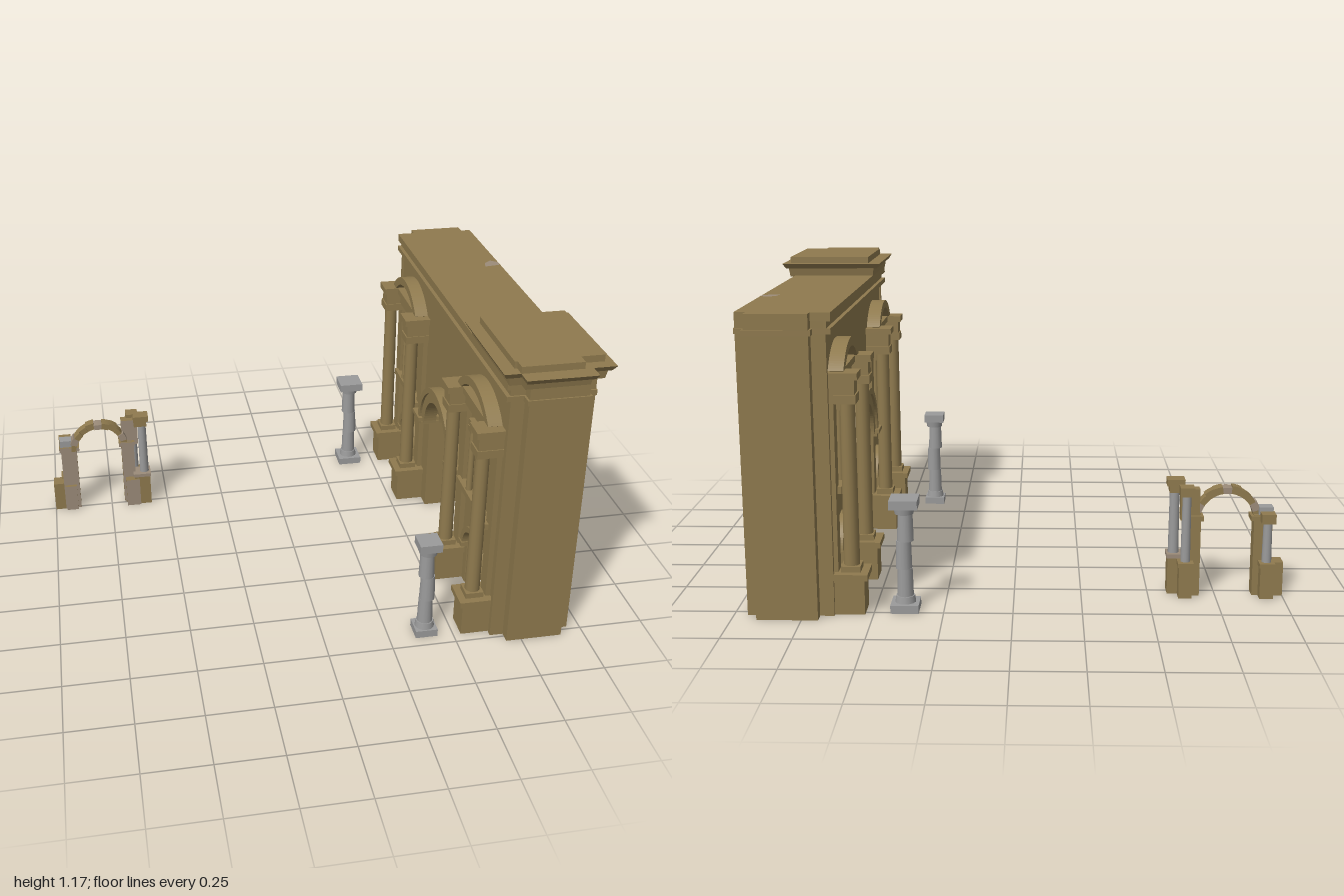
import * as THREE from 'three';

const mat = (name, color) => Object.assign(new THREE.MeshStandardMaterial({ color }), { name });
const stone = mat('ochre stone', 0x8f7a4e);
const pale = mat('worn plaster', 0x9c8c7a);
const grey = mat('grey marble', 0x9b9b9b);

export function createModel() {
  const model = new THREE.Group();
  const add = (name, geo, m, parent = model) => {
    const mesh = new THREE.Mesh(geo, m);
    mesh.name = name;
    parent.add(mesh);
    return mesh;
  };
  // box given by its limits on each axis
  const box = (name, x0, x1, y0, y1, z0, z1, m = stone, parent = model) => {
    const b = add(name, new THREE.BoxGeometry(x1 - x0, y1 - y0, z1 - z0), m, parent);
    b.position.set((x0 + x1) / 2, (y0 + y1) / 2, (z0 + z1) / 2);
    return b;
  };
  const shaft = (name, x, z, y0, y1, r, m = stone, parent = model) => {
    const c = add(name, new THREE.CylinderGeometry(r * 0.9, r, y1 - y0, 14), m, parent);
    c.position.set(x, (y0 + y1) / 2, z);
    return c;
  };
  // shape drawn in (z, y), extruded from x1 back to x0
  const slab = (name, shape, x0, x1, m = stone) => {
    const s = add(name, new THREE.ExtrudeGeometry(shape, { depth: x1 - x0, bevelEnabled: false, curveSegments: 20 }), m);
    s.rotation.y = -Math.PI / 2;
    s.position.x = x1;
    return s;
  };
  const poly = (pts) => new THREE.Shape(pts.map(([a, b]) => new THREE.Vector2(a, b)));
  const ring = (c, y, r0, r1, a0 = 0, a1 = Math.PI) => {
    const s = new THREE.Shape();
    s.absarc(c, y, r1, a0, a1, false);
    s.absarc(c, y, r0, a1, a0, true);
    s.closePath();
    return s;
  };

  // gate wall with three arched passages
  const wallShape = () => {
    const s = new THREE.Shape();
    s.moveTo(-0.785, 0.01);
    for (const [c, y, r] of [[-0.53, 0.2, 0.1], [-0.025, 0.425, 0.215], [0.475, 0.2, 0.1]]) {
      s.lineTo(c - r, 0.01);
      s.lineTo(c - r, y);
      s.absarc(c, y, r, Math.PI, 0, true);
      s.lineTo(c + r, 0.01);
    }
    s.lineTo(0.735, 0.01);
    s.lineTo(0.735, 1.105);
    s.lineTo(-0.785, 1.105);
    s.closePath();
    return s;
  };
  const broken = wallShape();
  broken.holes.push(poly([[-0.24, 0.85], [-0.42, 0.75], [-0.42, 0.39], [-0.38, 0.38], [-0.345, 0.43]]));
  slab('wall', broken, 0.68, 0.95);
  slab('wallFacing', wallShape(), 0.645, 0.68);

  // end piers, string course and crown moulding
  for (const [z0, z1] of [[-0.83, -0.785], [0.735, 0.78]]) {
    box('endPier', 0.69, 0.91, 0.01, 1.105, z0, z1);
    box('endPierBand', 0.682, 0.918, 1.03, 1.05, z0 - 0.006, z1 + 0.006);
  }
  box('stringCourse', 0.62, 0.953, 1.03, 1.05, -0.792, 0.742);
  slab('frieze', poly([[-0.785, 1.05], [0.735, 1.05], [0.735, 1.075], [-0.785, 1.075]]), 0.635, 0.645);
  box('crown', 0.62, 0.7, 1.075, 1.105, -0.79, 0.74);
  for (const [z0, z1] of [[-0.785, -0.765], [0.715, 0.735]]) box('cornerStrip', 0.638, 0.645, 0.01, 1.03, z0, z1);

  // stepped cornice over the front end, flaring towards its upper edge
  const tier = (y0, y1, pts, k = 1) => {
    const g = new THREE.ExtrudeGeometry(poly(pts.map(([x, z]) => [x, -z])), { depth: y1 - y0, bevelEnabled: false });
    g.rotateX(-Math.PI / 2);
    const p = g.attributes.position;
    for (let i = 0; i < p.count; i++) {
      if (p.getY(i) < 1e-5) p.setXYZ(i, 0.795 + (p.getX(i) - 0.795) * k, 0, 0.56 + (p.getZ(i) - 0.56) * k);
    }
    g.computeVertexNormals();
    add('corniceTier', g, stone).position.y = y0;
  };
  const tabbed = (x0, x1, z0, z1, t0, t1, z2) => [[x0, z0], [x1, z0], [x1, z1], [t1, z1], [t1, z2], [t0, z2], [t0, z1], [x0, z1]];
  tier(1.1, 1.135, tabbed(0.615, 0.975, 0.315, 0.76, 0.66, 0.905, 0.8), 0.97);
  tier(1.135, 1.156, tabbed(0.59, 1.0, 0.305, 0.78, 0.65, 0.912, 0.84), 0.94);
  tier(1.156, 1.182, tabbed(0.64, 0.97, 0.34, 0.735, 0.65, 0.88, 0.78));

  // facade bays: columns on pedestals, lintel, curved pediment, window and door arch
  for (const [a, b, door] of [[-0.72, -0.355, -0.53], [0.285, 0.655, 0.475]]) {
    const mid = (a + b) / 2;
    for (const z of [a, b]) {
      box('pedestal', 0.53, 0.645, 0.01, 0.14, z - 0.052, z + 0.052);
      box('pedestalCap', 0.517, 0.645, 0.14, 0.163, z - 0.063, z + 0.063);
      box('columnBase', 0.545, 0.615, 0.163, 0.185, z - 0.036, z + 0.036);
      shaft('column', 0.58, z, 0.185, 0.78, 0.029);
      box('columnCapital', 0.545, 0.645, 0.78, 0.812, z - 0.04, z + 0.04);
      box('entablatureBlock', 0.55, 0.645, 0.812, 0.865, z - 0.036, z + 0.036);
      box('entablatureCap', 0.538, 0.645, 0.865, 0.89, z - 0.046, z + 0.046);
      box('backPilaster', 0.625, 0.645, 0.163, 0.79, z - 0.03, z + 0.03);
    }
    box('lintel', 0.612, 0.645, 0.815, 0.865, a, b);
    box('lintelCap', 0.597, 0.645, 0.865, 0.89, a, b);
    slab('curvedPediment', ring(mid, 0.735, 0.212, 0.245, 0.69, Math.PI - 0.69), 0.59, 0.645);
    box('sill', 0.61, 0.645, 0.445, 0.47, a, b);
    for (const s of [-1, 1]) {
      shaft('windowColonnette', 0.628, mid + s * 0.075, 0.47, 0.73, 0.013);
      box('windowCapital', 0.612, 0.645, 0.73, 0.75, mid + s * 0.075 - 0.02, mid + s * 0.075 + 0.02);
    }
    box('windowHead', 0.615, 0.645, 0.75, 0.775, mid - 0.1, mid + 0.1);
    slab('doorArch', ring(door, 0.2, 0.1, 0.125), 0.622, 0.645);
    for (const s of [-1, 1]) {
      const z = door + s * 0.112;
      box('doorImpost', 0.618, 0.645, 0.19, 0.21, z - 0.018, z + 0.018);
    }
  }

  // main arch surround
  slab('mainArch', ring(-0.025, 0.455, 0.165, 0.215), 0.605, 0.66);
  slab('mainArchRim', ring(-0.025, 0.455, 0.205, 0.23), 0.595, 0.645);
  for (const [z0, z1] of [[-0.31, -0.212], [0.162, 0.25]]) {
    box('impost', 0.587, 0.68, 0.455, 0.472, z0, z1);
    box('impostLower', 0.597, 0.68, 0.442, 0.455, z0 - 0.004, z1 + 0.004);
  }

  // worn patches
  const patch = (pts) => slab('wornPatch', poly(pts), 0.949, 0.953, pale);
  patch([[0.29, 1.065], [0.25, 1.07], [0.2, 1.055], [0.16, 1.055], [0.16, 1.025], [0.23, 1.02], [0.28, 1.03]]);
  patch([[-0.18, 1.045], [-0.21, 1.062], [-0.24, 1.055], [-0.235, 1.025], [-0.2, 1.022], [-0.175, 1.035]]);
  patch([[0.36, 0.012], [0.345, 0.03], [0.32, 0.032], [0.305, 0.012]]);
  const topPatch = add('wornTopPatch', new THREE.ShapeGeometry(poly([[0.88, 0.33], [0.945, 0.34], [0.948, 0.37], [0.92, 0.395], [0.89, 0.37]])), pale);
  topPatch.rotation.x = -Math.PI / 2;
  topPatch.position.y = 1.107;

  // free-standing columns with slightly shifted drums
  for (const [x, z, w] of [[0.39, -0.71, 0.051], [0.395, 0.66, 0.043]]) {
    const g = new THREE.Group();
    g.name = 'looseColumn';
    model.add(g);
    box('base', x - w, x + w, 0.01, 0.04, z - w, z + w, grey, g);
    box('capital', x - w, x + w, 0.397, 0.43, z - w, z + w, grey, g);
    shaft('baseRing', x, z, 0.04, 0.065, 0.038, grey, g);
    shaft('neck', x, z, 0.372, 0.397, 0.038, grey, g).rotation.x = Math.PI;
    for (let i = 0; i < 3; i++) {
      shaft('drum', x + [0, 0.004, -0.003][i], z, 0.065 + i * 0.103, 0.168 + i * 0.103, 0.03, grey, g);
    }
  }

  // ruined small arch
  const ruin = new THREE.Group();
  ruin.name = 'ruinedArch';
  model.add(ruin);
  const worn = [stone, stone, stone, stone, pale, stone];
  const part = (name, x0, x1, y0, y1, z0, z1, m = stone) => box(name, x0, x1, y0, y1, z0, z1, m, ruin);
  part('leftPier', -0.955, -0.887, 0.01, 0.32, -0.545, -0.49, worn);
  part('leftPierTop', -0.958, -0.905, 0.32, 0.35, -0.54, -0.495, grey);
  part('rightPier', -0.69, -0.635, 0.01, 0.32, -0.555, -0.5, worn);
  part('rightPierTop', -0.685, -0.615, 0.3, 0.42, -0.55, -0.51, worn);
  part('leftImpost', -0.962, -0.875, 0.3, 0.318, -0.55, -0.487, worn);
  part('rightImpost', -0.7, -0.63, 0.3, 0.318, -0.56, -0.495, worn);
  part('leftEndPedestal', -1.0, -0.955, 0.01, 0.14, -0.55, -0.49);
  part('rightEndPedestal', -0.64, -0.572, 0.01, 0.15, -0.535, -0.475);
  part('rightEndPedestalCap', -0.645, -0.568, 0.15, 0.165, -0.54, -0.47, pale);
  shaft('rightEndColumn', -0.595, -0.505, 0.165, 0.4, 0.02, grey, ruin);
  part('rightEndCapital', -0.63, -0.575, 0.4, 0.425, -0.53, -0.48);
  part('rightEndBlock', -0.632, -0.566, 0.425, 0.45, -0.53, -0.475);
  for (const [x, top] of [[-0.935, 0.3], [-0.635, 0.4]]) {
    part('backPedestal', x - 0.025, x + 0.025, 0.01, 0.13, -0.588, -0.535);
    part('backPedestalCap', x - 0.029, x + 0.029, 0.13, 0.147, -0.592, -0.535);
    shaft('backColumn', x, -0.56, 0.147, top, 0.018, grey, ruin);
    part('backCapital', x - 0.026, x + 0.026, top, top + 0.035, -0.588, -0.535);
  }
  part('frontLeftBlock', -0.95, -0.9, 0.01, 0.13, -0.49, -0.475, worn);
  part('frontRightBlock', -0.68, -0.62, 0.01, 0.14, -0.505, -0.467, worn);
  // uneven voussoirs
  const n = 11;
  for (let i = 0; i < n; i++) {
    const s = ring(0, 0, 0.1, 0.126 + 0.004 * Math.sin(i * 2.3), (i * Math.PI) / n, ((i + 1) * Math.PI) / n);
    const v = add('voussoir', new THREE.ExtrudeGeometry(s, { depth: 0.045 + 0.006 * Math.sin(i * 1.7), bevelEnabled: false, curveSegments: 3 }), i % 4 === 1 ? pale : stone, ruin);
    v.position.set(-0.787, 0.3, -0.545 + 0.002 * i);
  }
  return model;
}
